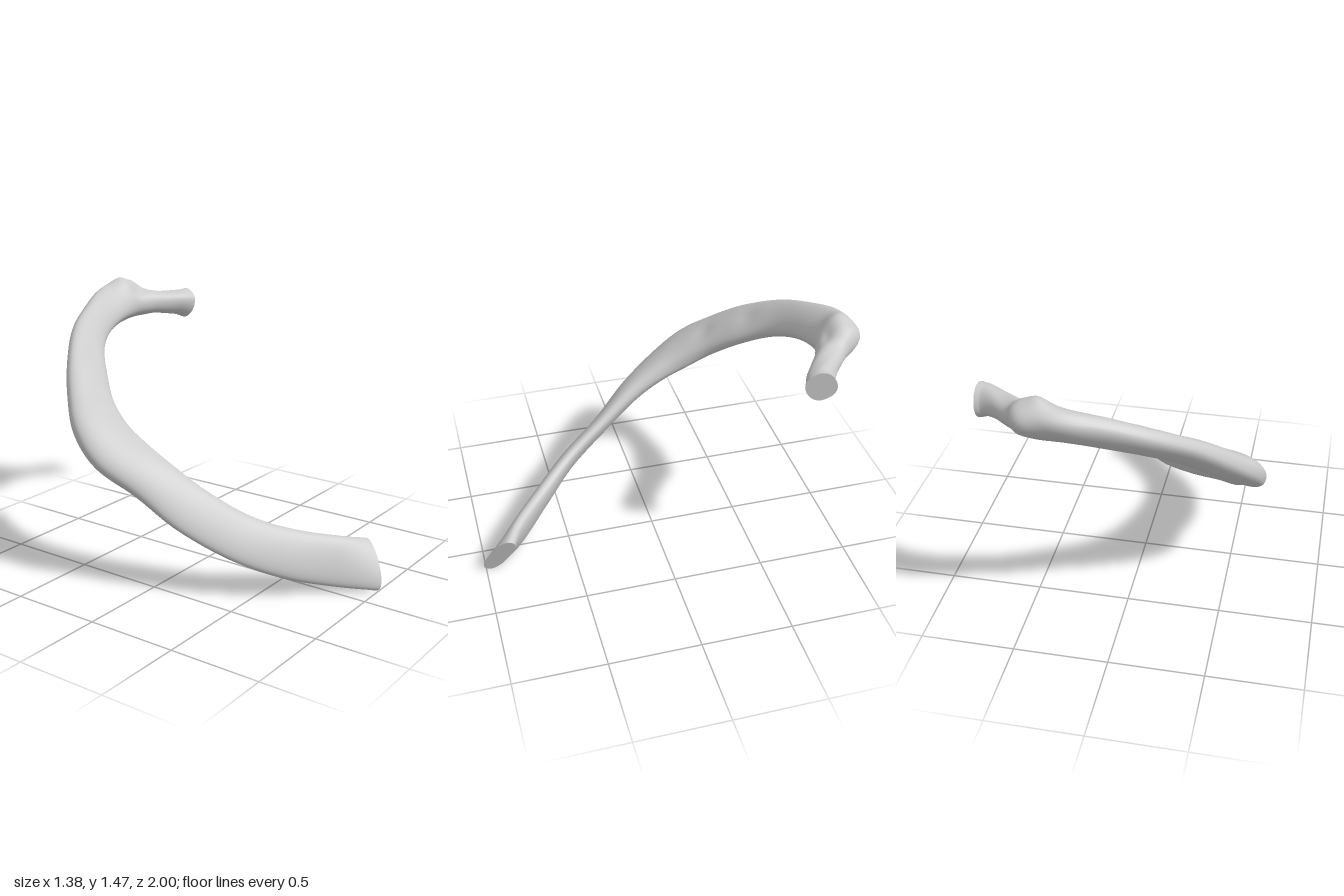
import * as THREE from 'three';

// Stations from the front end to the head:
// centre x y z, half long axis x y z, half thickness
const STATIONS = [
  [0.195, 0.125, 0.925, -0.047, -0.12, 0.065, 0.046],
  [0.065, 0.155, 0.80, -0.05, -0.125, 0.015, 0.048],
  [-0.13, 0.22, 0.62, -0.065, -0.115, 0.01, 0.049],
  [-0.30, 0.318, 0.43, -0.085, -0.097, 0, 0.046],
  [-0.417, 0.455, 0.20, -0.103, -0.08, -0.02, 0.047],
  [-0.495, 0.608, 0, -0.115, -0.062, -0.02, 0.062],
  [-0.54, 0.722, -0.18, -0.145, -0.03, -0.05, 0.073],
  [-0.52, 0.833, -0.33, -0.14, 0.015, -0.06, 0.078],
  [-0.435, 0.953, -0.47, -0.108, 0.045, -0.06, 0.07],
  [-0.305, 1.08, -0.605, -0.083, 0.065, -0.06, 0.062],
  [-0.14, 1.195, -0.74, -0.05, 0.075, -0.06, 0.06],
  [0.03, 1.27, -0.82, -0.02, 0.085, -0.06, 0.064],
  [0.20, 1.32, -0.87, 0, 0.088, -0.08, 0.073],
  [0.34, 1.335, -0.865, 0, 0.09, -0.06, 0.083],
  [0.46, 1.315, -0.80, 0.02, 0.068, -0.02, 0.072],
  [0.55, 1.308, -0.735, 0.01, 0.064, 0.02, 0.066],
  [0.625, 1.302, -0.688, 0, 0.065, 0.04, 0.066],
  [0.677, 1.292, -0.67, 0.008, 0.075, 0.045, 0.076],
];

// Soft swellings and hollows: centre, radius, height
const BUMPS = [
  [0.35, 1.46, -0.89, 0.07, 0.035],
  [0.43, 1.42, -0.88, 0.05, 0.025],
  [0.42, 1.36, -0.96, 0.08, 0.05],
  [0.40, 1.42, -0.79, 0.05, -0.02],
  [-0.25, 1.16, -0.62, 0.07, -0.01],
  [-0.42, 0.99, -0.42, 0.06, -0.01],
].map(([x, y, z, r, h]) => ({ c: new THREE.Vector3(x, y, z), r, h }));

// Facing directions of the two slanted end cuts
const FRONT_CUT = new THREE.Vector3(0.95, -0.27, 0.15).normalize();
const HEAD_CUT = new THREE.Vector3(1, -0.12, 0.12).normalize();

const RINGS = 160, SIDES = 40, CUT_SPAN = 0.05;

function curveOf(pick) {
  return new THREE.CatmullRomCurve3(STATIONS.map((s) => new THREE.Vector3(...pick(s))), false, 'catmullrom', 0.5);
}

// Closed rings of points along the bone
function makeRings() {
  const path = curveOf((s) => s.slice(0, 3));
  const axis = curveOf((s) => s.slice(3, 6));
  const thick = curveOf((s) => [s[6], 0, 0]);
  const rings = [];
  for (let i = 0; i <= RINGS; i++) {
    const u = i / RINGS;
    const c = path.getPoint(u), a = axis.getPoint(u), t = path.getTangent(u);
    const b = t.clone().cross(a).normalize().multiplyScalar(thick.getPoint(u).x);
    const cut = u < 0.5 ? FRONT_CUT : HEAD_CUT;
    const slant = Math.max(0, 1 - Math.min(u, 1 - u) / CUT_SPAN);
    const ring = [];
    for (let j = 0; j < SIDES; j++) {
      const th = (j / SIDES) * Math.PI * 2;
      const p = c.clone()
        .addScaledVector(a, Math.cos(th))
        .addScaledVector(b, Math.sign(Math.sin(th)) * Math.abs(Math.sin(th)) ** 0.78);
      const out = p.clone().sub(c);
      // lean the ring along the bone into the plane of the end cut
      p.addScaledVector(t, (-slant * out.dot(cut)) / t.dot(cut));
      out.normalize();
      for (const k of BUMPS) p.addScaledVector(out, k.h * Math.exp(-p.distanceToSquared(k.c) / (k.r * k.r)));
      ring.push(p);
    }
    rings.push(ring);
  }
  return rings;
}

function buildGeometry(rings) {
  const pos = [], index = [];
  rings.forEach((ring) => ring.forEach((p) => pos.push(p.x, p.y, p.z)));
  for (let i = 0; i < rings.length - 1; i++) {
    for (let j = 0; j < SIDES; j++) {
      const k = (j + 1) % SIDES;
      const p = i * SIDES + j, q = i * SIDES + k;
      index.push(p, q, p + SIDES, q, q + SIDES, p + SIDES);
    }
  }
  const g = new THREE.BufferGeometry();
  g.setAttribute('position', new THREE.Float32BufferAttribute(pos, 3));
  g.setIndex(index);
  g.computeVertexNormals();
  return g;
}

// End face with its own vertices, so its rim stays sharp
function buildCap(ring, atStart) {
  const mid = ring.reduce((m, p) => m.add(p), new THREE.Vector3()).divideScalar(SIDES);
  const index = [];
  for (let j = 0; j < SIDES; j++) {
    const p = j + 1, q = ((j + 1) % SIDES) + 1;
    index.push(0, atStart ? q : p, atStart ? p : q);
  }
  const g = new THREE.BufferGeometry().setFromPoints([mid, ...ring]);
  g.setIndex(index);
  g.computeVertexNormals();
  return g;
}

export function createModel() {
  const group = new THREE.Group();
  group.name = 'ribBone';
  const material = new THREE.MeshStandardMaterial({ color: 0xcccccc });
  const add = (name, geometry) => {
    const mesh = new THREE.Mesh(geometry, material);
    mesh.name = name;
    group.add(mesh);
  };
  const rings = makeRings();
  add('ribShaft', buildGeometry(rings));
  add('frontEndFace', buildCap(rings[0], true));
  add('headFace', buildCap(rings[RINGS], false));
  return group;
}
